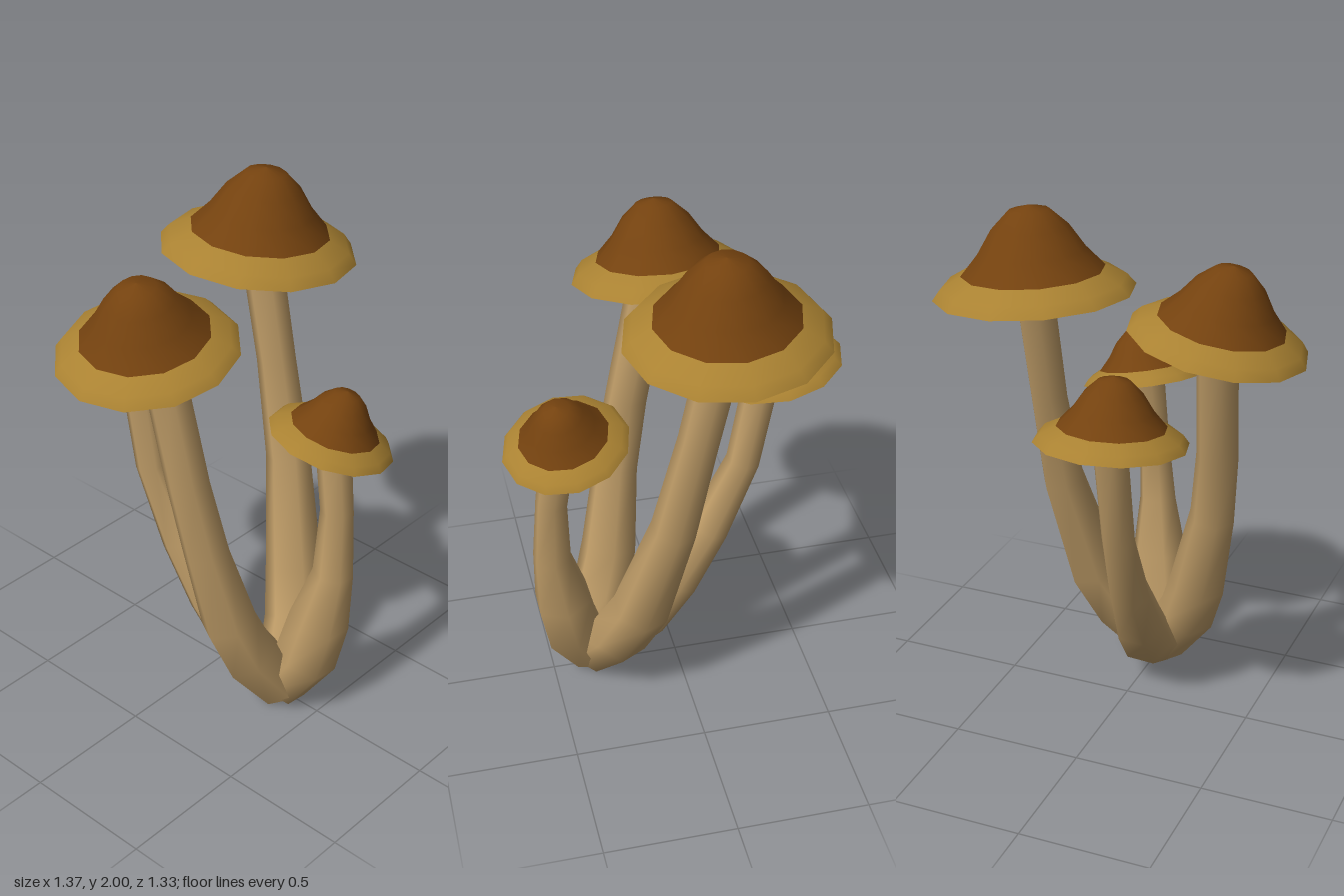
import * as THREE from 'three';

const material = (name, color, extra = {}) =>
  Object.assign(new THREE.MeshStandardMaterial({ color, side: THREE.DoubleSide, ...extra }), { name });

// Bell profile (radius, height), listed from the rim upwards
const rimProfile = [[0.37, 0], [0.338, 0.04], [0.262, 0.08]];
const crownProfile = [[0.262, 0.08], [0.195, 0.155], [0.14, 0.24], [0.075, 0.302], [0, 0.32]];

// Each stem point: x, y, z, radius
const base = [-0.015, 0.06, 0.33, 0.1];
const mushrooms = [
  {
    name: 'tallMushroom', cap: [0.315, 1.68, -0.11], tilt: [0.08, 0.045], scale: 1,
    stem: [base, [0.14, 0.25, 0.255, 0.112], [0.215, 0.43, 0.185, 0.108], [0.297, 0.86, 0.075, 0.084],
      [0.315, 1.25, -0.01, 0.073], [0.32, 1.65, -0.095, 0.075], [0.325, 1.8, -0.12, 0.075]],
  },
  {
    name: 'leaningMushroom', cap: [-0.358, 1.56, -0.025], tilt: [-0.185, 0.03], scale: 0.9,
    stem: [base, [-0.145, 0.25, 0.275, 0.112], [-0.205, 0.42, 0.225, 0.108], [-0.28, 0.76, 0.175, 0.086],
      [-0.315, 1.05, 0.12, 0.08], [-0.34, 1.53, 0.02, 0.078], [-0.36, 1.67, -0.005, 0.078]],
  },
  {
    name: 'frontMushroom', cap: [0.11, 1.17, 0.43], tilt: [0.21, 0.185], scale: 0.64,
    stem: [base, [0.02, 0.22, 0.42, 0.118], [0.045, 0.4, 0.457, 0.112], [0.07, 0.63, 0.495, 0.074],
      [0.085, 0.9, 0.49, 0.06], [0.095, 1.15, 0.455, 0.064], [0.11, 1.24, 0.442, 0.064]],
  },
  {
    name: 'backMushroom', cap: [-0.1, 1.275, -0.388], tilt: [0, 0.127], scale: 0.75,
    stem: [base, [-0.035, 0.19, 0.12, 0.105], [-0.05, 0.335, -0.005, 0.1], [-0.07, 0.545, -0.15, 0.08],
      [-0.085, 0.84, -0.29, 0.064], [-0.085, 1.26, -0.365, 0.066], [-0.09, 1.36, -0.382, 0.066]],
  },
];

// Six-sided loft, with each ring square to the stem's direction
function stemGeometry(points, sides = 6) {
  const centres = points.map(([x, y, z]) => new THREE.Vector3(x, y, z));
  const up = new THREE.Vector3(0, 1, 0);
  const positions = [], index = [];
  centres.forEach((centre, i) => {
    const before = centres[Math.max(i - 1, 0)];
    const after = centres[Math.min(i + 1, centres.length - 1)];
    const direction = after.clone().sub(before).normalize();
    const turn = new THREE.Quaternion().setFromUnitVectors(up, direction);
    const radius = points[i][3] * 1.04;
    for (let j = 0; j < sides; j++) {
      const a = (j / sides) * Math.PI * 2;
      const p = new THREE.Vector3(Math.cos(a) * radius, 0, Math.sin(a) * radius).applyQuaternion(turn).add(centre);
      positions.push(p.x, Math.max(p.y, 0), p.z);
      if (i < centres.length - 1) {
        const k = i * sides + j, next = i * sides + ((j + 1) % sides);
        index.push(k, k + sides, next, next, k + sides, next + sides);
      }
    }
  });
  const geometry = new THREE.BufferGeometry();
  geometry.setAttribute('position', new THREE.Float32BufferAttribute(positions, 3));
  geometry.setIndex(index);
  geometry.computeVertexNormals();
  return geometry;
}

const lathe = (profile) => new THREE.LatheGeometry(profile.map(([r, h]) => new THREE.Vector2(r, h)), 12);

export function createModel() {
  const stemTan = material('stem tan', 0xbc9a66);
  const rimOchre = material('rim ochre', 0xaa8232);
  const crownBrown = material('crown brown', 0x74420f);
  const rimGeometry = lathe(rimProfile);
  const crownGeometry = lathe(crownProfile);

  const add = (parent, name, geometry, mat) => {
    const mesh = new THREE.Mesh(geometry, mat);
    mesh.name = name;
    parent.add(mesh);
  };

  const model = new THREE.Group();
  model.name = 'mushroomCluster';
  for (const { name, cap, tilt, scale, stem } of mushrooms) {
    const mushroom = new THREE.Group();
    mushroom.name = name;
    add(mushroom, 'stem', stemGeometry(stem), stemTan);

    // Hollow cap, leaning along its tilt
    const capGroup = new THREE.Group();
    capGroup.name = 'cap';
    add(capGroup, 'capRim', rimGeometry, rimOchre);
    add(capGroup, 'capCrown', crownGeometry, crownBrown);
    capGroup.position.set(...cap);
    capGroup.scale.setScalar(scale);
    const axis = new THREE.Vector3(tilt[0], 1, tilt[1]).normalize();
    capGroup.quaternion.setFromUnitVectors(new THREE.Vector3(0, 1, 0), axis);
    mushroom.add(capGroup);
    model.add(mushroom);
  }
  return model;
}
